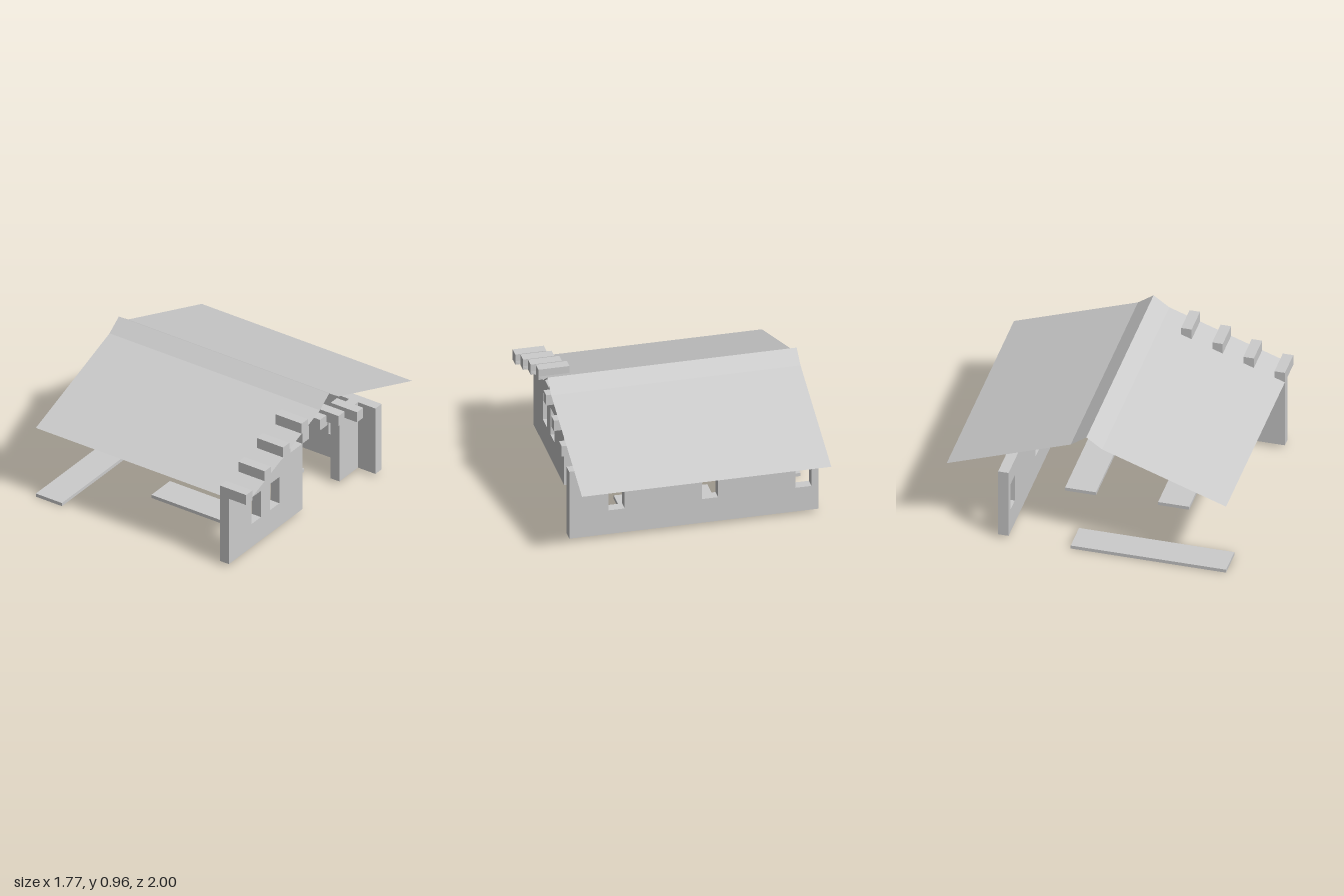
import * as THREE from 'three';

export function createModel() {
  const house = new THREE.Group();
  house.name = 'house';
  const grey = new THREE.MeshStandardMaterial({ color: 0xcccccc, side: THREE.DoubleSide });
  grey.name = 'lightGrey';

  const add = (name, geometry, parent = house) => {
    const mesh = new THREE.Mesh(geometry, grey);
    mesh.name = name;
    parent.add(mesh);
    return mesh;
  };

  // box given by its two limits on each axis
  const box = (name, [x0, x1], [y0, y1], [z0, z1], parent) =>
    add(name, new THREE.BoxGeometry(x1 - x0, y1 - y0, z1 - z0), parent)
      .position.set((x0 + x1) / 2, (y0 + y1) / 2, (z0 + z1) / 2);

  const floor = 0.025, wallTop = 0.555, end = 0.887;

  // wall outline with window holes, extruded to its thickness
  const wall = (name, u0, u1, thickness, windows) => {
    const rect = (path, a, b, c, d) =>
      path.moveTo(a, c).lineTo(b, c).lineTo(b, d).lineTo(a, d).closePath();
    const shape = rect(new THREE.Shape(), u0, u1, floor, wallTop);
    for (const [a, b] of windows) shape.holes.push(rect(new THREE.Path(), a, b, 0.212, 0.425));
    return add(name, new THREE.ExtrudeGeometry(shape, { depth: thickness, bevelEnabled: false }));
  };

  // back wall with three windows
  wall('backWall', -end, end, 0.075, [[-0.837, -0.723], [-0.172, -0.058], [0.493, 0.607]])
    .position.z = -0.632;

  // side wall with two windows, turned so its length runs along z
  const side = wall('sideWall', -1, -0.113, 0.075, [[-0.725, -0.613], [-0.502, -0.39]]);
  side.rotation.y = Math.PI / 2;
  side.position.x = 0.665;

  // short return wall beside the opening
  box('returnWall', [0.665, 0.74], [floor, wallTop], [-0.557, -0.333]);

  // stepped brackets: a post on the wall line carrying an overhanging beam
  [0, 1, 2, 3, 2, 1, 0].forEach((step, i) => {
    const bracket = new THREE.Group();
    bracket.name = 'bracket' + (i + 1);
    house.add(bracket);
    const z1 = 1 - i * 0.2225, z = [z1 - 0.075, z1];
    const y = wallTop + step * 0.081;
    if (step) box('post', [0.665, 0.74], [wallTop, y], z, bracket);
    box('beam', [0.665, end], [y, y + 0.081], z, bracket);
  });

  // thin roof sheet folded along the ridge and both breaks
  const profile = [[1, 0.557], [0.112, 0.877], [0, 0.957], [-0.112, 0.877], [-1, 0.557]];
  const corners = [];
  for (let i = 0; i < profile.length - 1; i++) {
    const [z0, y0] = profile[i], [z1, y1] = profile[i + 1];
    const a = [-end, y0, z0], b = [end, y0, z0], c = [end, y1, z1], d = [-end, y1, z1];
    corners.push(...a, ...b, ...c, ...a, ...c, ...d);
  }
  const roof = new THREE.BufferGeometry();
  roof.setAttribute('position', new THREE.Float32BufferAttribute(corners, 3));
  roof.computeVertexNormals();
  add('roof', roof);

  // floor slabs
  box('longSlab', [-end, -0.667], [0, floor], [-0.112, 1]);
  box('frontSlab', [-0.223, 0.443], [0, floor], [0.333, 0.556]);
  box('backSlab', [-0.223, 0.443], [0, floor], [-0.333, -0.112]);

  return house;
}
